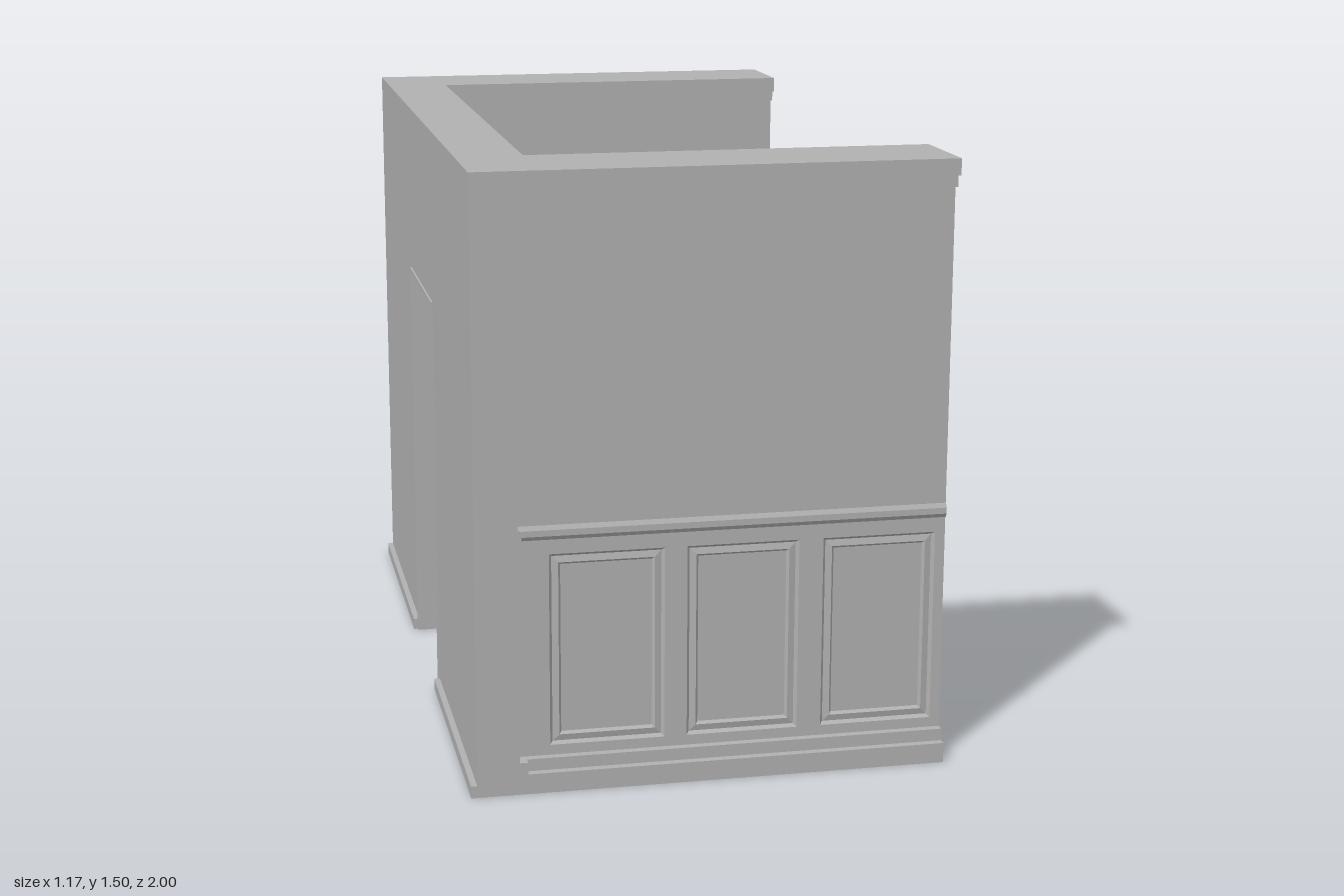
import * as THREE from 'three';

const BACK = -0.573, END = 0.585, DOOR = 0.24, DOOR_TOP = 1.045, WALL = 0.04, BOARD = 0.015;

// [height, inset] rows: base steps, core behind the panelling, chair rail, wall, crown
const ROWS = [
  [0, 0], [0.05, 0], [0.05, 0.02], [0.08, 0.02], [0.08, WALL + BOARD], [0.62, WALL + BOARD],
  [0.62, 0.037], [0.63, 0.031], [0.645, 0.031], [0.655, 0.037], [0.655, WALL],
  [1.43, WALL], [1.43, 0.02], [1.46, 0.02], [1.46, 0], [1.5, 0],
];

// Joins loops of Vector3 with flat quads; closes the chosen ends
function loft(loops, flat, capStart, capEnd) {
  const pos = [];
  const tri = (a, b, c) => {
    if (new THREE.Triangle(a, b, c).getArea() > 1e-9) for (const p of [a, b, c]) pos.push(p.x, p.y, p.z);
  };
  const cap = (loop, flip) => {
    const pts = loop.map(flat);
    for (const [i, j, k] of THREE.ShapeUtils.triangulateShape(pts, [])) {
      const ccw = THREE.ShapeUtils.area([pts[i], pts[j], pts[k]]) > 0;
      if (ccw !== flip) tri(loop[i], loop[j], loop[k]);
      else tri(loop[i], loop[k], loop[j]);
    }
  };
  for (let r = 0; r < loops.length - 1; r++) {
    const lo = loops[r], hi = loops[r + 1], n = lo.length;
    for (let i = 0; i < n; i++) {
      const j = (i + 1) % n;
      tri(lo[i], lo[j], hi[j]);
      tri(lo[i], hi[j], hi[i]);
    }
  }
  if (capStart) cap(loops[0], true);
  if (capEnd) cap(loops[loops.length - 1], false);
  const g = new THREE.BufferGeometry();
  g.setAttribute('position', new THREE.Float32BufferAttribute(pos, 3));
  g.computeVertexNormals();
  return g;
}

// Plan of one half of the U, with a full-depth corner post beside the inset wall
function halfPlan(s, side) {
  const post = -0.43 - Math.min(s, WALL);
  const pts = [
    [BACK, DOOR], [BACK, 1], [post, 1], [post, 1 - s], [END, 1 - s],
    [END, 0.75 + s], [-0.41 - s, 0.75 + s], [-0.41 - s, DOOR],
  ].map(([x, z]) => [x, z * side]);
  return side > 0 ? pts : pts.reverse();
}

function lintelPlan(s) {
  return [[BACK, -DOOR], [BACK, DOOR], [-0.41 - s, DOOR], [-0.41 - s, -DOOR]];
}

const solidFromPlan = (rows, plan) => loft(
  rows.map(([y, s]) => plan(s).map(([x, z]) => new THREE.Vector3(x, y, z))),
  (p) => new THREE.Vector2(p.x, -p.z), true, true);

const rect = (x0, x1, y0, y1) => [[x0, y0], [x1, y0], [x1, y1], [x0, y1]];

// Wainscot board with recessed, moulded panels; its face lies on local z = 0
function wainscot(name, span, panels, material) {
  const group = new THREE.Group();
  group.name = name;
  const toPath = (pts, Type) => new Type(pts.map(([x, y]) => new THREE.Vector2(x, y)));
  const shape = toPath(rect(span[0], span[1], 0.08, 0.62), THREE.Shape);
  for (const [a, b] of panels) shape.holes.push(toPath(rect(a, b, 0.105, 0.583), THREE.Path));
  const board = new THREE.Mesh(
    new THREE.ExtrudeGeometry(shape, { depth: BOARD, bevelEnabled: false }).translate(0, 0, -BOARD), material);
  board.name = 'panelBoard';
  group.add(board);

  // Nested rectangles step from the board face down to the panel field
  const steps = [[0, 0], [0.007, -0.009], [0.023, -0.005], [0.029, -0.013]];
  for (const [a, b] of panels) {
    const loops = steps.map(([d, z]) =>
      rect(a + d, b - d, 0.105 + d, 0.583 - d).map(([x, y]) => new THREE.Vector3(x, y, z)));
    const panel = new THREE.Mesh(loft(loops, (p) => new THREE.Vector2(p.x, p.y), false, true), material);
    panel.name = 'recessedPanel';
    group.add(panel);
  }
  return group;
}

export function createModel() {
  const model = new THREE.Group();
  model.name = 'panelledRoom';
  const plaster = new THREE.MeshStandardMaterial({ color: 0xb0b0b0 });
  plaster.name = 'greyPlaster';

  const add = (name, geometry) => {
    const mesh = new THREE.Mesh(geometry, plaster);
    mesh.name = name;
    model.add(mesh);
  };
  const box = (name, x0, x1, y0, y1, z0, z1) => add(name,
    new THREE.BoxGeometry(x1 - x0, y1 - y0, z1 - z0).translate((x0 + x1) / 2, (y0 + y1) / 2, (z0 + z1) / 2));

  const longPanels = [[-0.39, -0.11], [-0.055, 0.22], [0.28, 0.56]];
  const shortPanels = [[0.28, 0.48], [0.53, 0.75]];
  const turn = (ranges, sign) => ranges.map(([a, b]) => (sign > 0 ? [a, b] : [-b, -a]));

  for (const side of [1, -1]) {
    add(side > 0 ? 'frontWall' : 'rearWall', solidFromPlan(ROWS, (s) => halfPlan(s, side)));

    // Panelling on the outer and inner faces of the long wall
    for (const [name, z, facing, x0] of [
      ['outerWainscot', 0.96 * side, side, -0.47],
      ['innerWainscot', 0.79 * side, -side, -0.45],
    ]) {
      const board = wainscot(name, turn([[x0, END]], facing)[0], turn(longPanels, facing), plaster);
      board.position.z = z;
      if (facing < 0) board.rotation.y = Math.PI;
      model.add(board);
    }

    // Panelling beside the doorway
    const door = wainscot('doorSideWainscot', turn([[DOOR, 0.79]], -side)[0], turn(shortPanels, -side), plaster);
    door.position.x = -0.41 - WALL;
    door.rotation.y = Math.PI / 2;
    model.add(door);

    // Skirting and door casing on the plain outer face
    const span = (a, b) => (side > 0 ? [a, b] : [-b, -a]);
    box('outerSkirting', -0.588, BACK, 0, 0.03, ...span(0.25, 1));
    box('doorCasing', BACK - 0.005, BACK, 0, 1.055, ...span(DOOR, 0.25));
  }

  // Wall over the doorway
  const upper = [[DOOR_TOP, WALL], ...ROWS.filter(([y]) => y > DOOR_TOP)];
  add('doorLintel', solidFromPlan(upper, lintelPlan));
  box('doorHeadCasing', BACK - 0.005, BACK, DOOR_TOP, 1.055, -DOOR, DOOR);

  return model;
}
